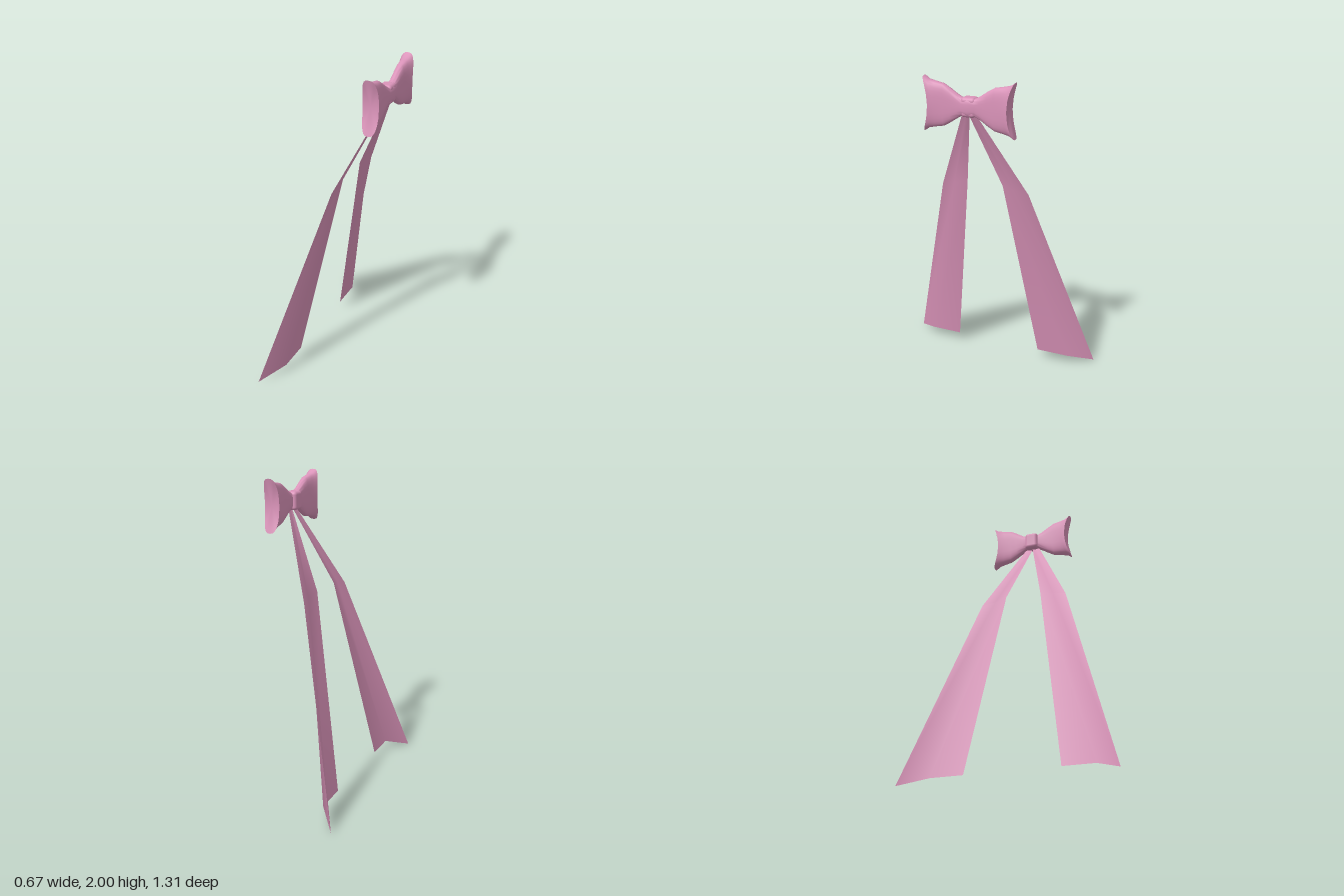
import * as THREE from 'three';
import { toCreasedNormals } from 'three/addons/utils/BufferGeometryUtils.js';
import { RoundedBoxGeometry } from 'three/addons/geometries/RoundedBoxGeometry.js';

const pink = new THREE.MeshStandardMaterial({ color: 0xdb94ba, side: THREE.DoubleSide });

function addMesh(parent, name, geometry) {
  const mesh = new THREE.Mesh(geometry, pink);
  mesh.name = name;
  parent.add(mesh);
  return mesh;
}

// Joins rows of points (all the same length) into one surface.
function surface(rows, closed) {
  const n = rows[0].length, index = [];
  for (let i = 0; i < rows.length - 1; i++) {
    for (let j = 0; j < (closed ? n : n - 1); j++) {
      const k = (j + 1) % n;
      const a = i * n + j, b = i * n + k, c = a + n, d = b + n;
      index.push(a, b, d, a, d, c);
    }
  }
  const geometry = new THREE.BufferGeometry();
  geometry.setAttribute('position', new THREE.Float32BufferAttribute(rows.flat(2), 3));
  geometry.setIndex(index);
  geometry.computeVertexNormals();
  return geometry;
}

// Puffed bow, lofted from boxy oval sections: [distance, half thickness, half height, end notch]
function bowGeometry() {
  const half = [
    [0, 0.038, 0.055, 0], [0.04, 0.031, 0.052, 0], [0.07, 0.028, 0.068, 0],
    [0.115, 0.029, 0.098, 0], [0.16, 0.032, 0.124, 0.005], [0.215, 0.038, 0.134, 0.018],
    [0.255, 0.044, 0.143, 0.032], [0.283, 0.049, 0.162, 0.038], [0.276, 0.034, 0.135, 0.034],
    [0.245, 0.0005, 0.0005, 0],
  ];
  const sections = [
    ...half.slice(1).reverse().map(([s, ...rest]) => [-s, ...rest]),
    ...half,
  ];
  const sides = 28;
  const soft = (v) => Math.sign(v) * Math.abs(v) ** 0.65;
  const rows = sections.map(([s, hx, hy, notch]) =>
    Array.from({ length: sides }, (_, j) => {
      const a = (j / sides) * Math.PI * 2;
      const u = soft(Math.cos(a)), v = soft(Math.sin(a));
      // The open ends curve inwards halfway up
      const z = s - Math.sign(s) * notch * (1 - v * v);
      return [u * hx, v * hy, z];
    }));
  return toCreasedNormals(surface(rows, true), 1.0);
}

// Ribbon tails: rows from the knot, to the bend, to the notched end (inner, middle, outer)
const tails = {
  leftTail: [
    [[0.275, 1.8, 0.022], [0.275, 1.8, 0.045], [0.275, 1.8, 0.068]],
    [[0.04, 1.31, 0.135], [0.05, 1.295, 0.22], [0.035, 1.275, 0.305]],
    [[-0.2, 0.07, 0.305], [-0.21, 0.07, 0.505], [-0.335, 0.005, 0.655]],
  ],
  rightTail: [
    [[0.28, 1.8, 0.028], [0.28, 1.8, 0.005], [0.28, 1.8, -0.018]],
    [[0.05, 1.31, -0.1], [0.07, 1.295, -0.185], [0.06, 1.275, -0.27]],
    [[-0.17, 0.07, -0.285], [-0.16, 0.07, -0.495], [-0.28, 0.005, -0.655]],
  ],
};

export function createModel() {
  const model = new THREE.Group();
  model.name = 'ribbonBow';

  // Bow and its knot, turned slightly
  const bow = new THREE.Group();
  bow.name = 'bow';
  bow.position.set(0.273, 1.84, 0.025);
  bow.rotation.y = -0.05;
  model.add(bow);
  addMesh(bow, 'bowLoops', bowGeometry());
  addMesh(bow, 'knot', new RoundedBoxGeometry(0.08, 0.115, 0.09, 4, 0.02)).position.x = -0.009;

  for (const [name, rows] of Object.entries(tails)) {
    addMesh(model, name, surface(rows, false));
  }
  return model;
}
